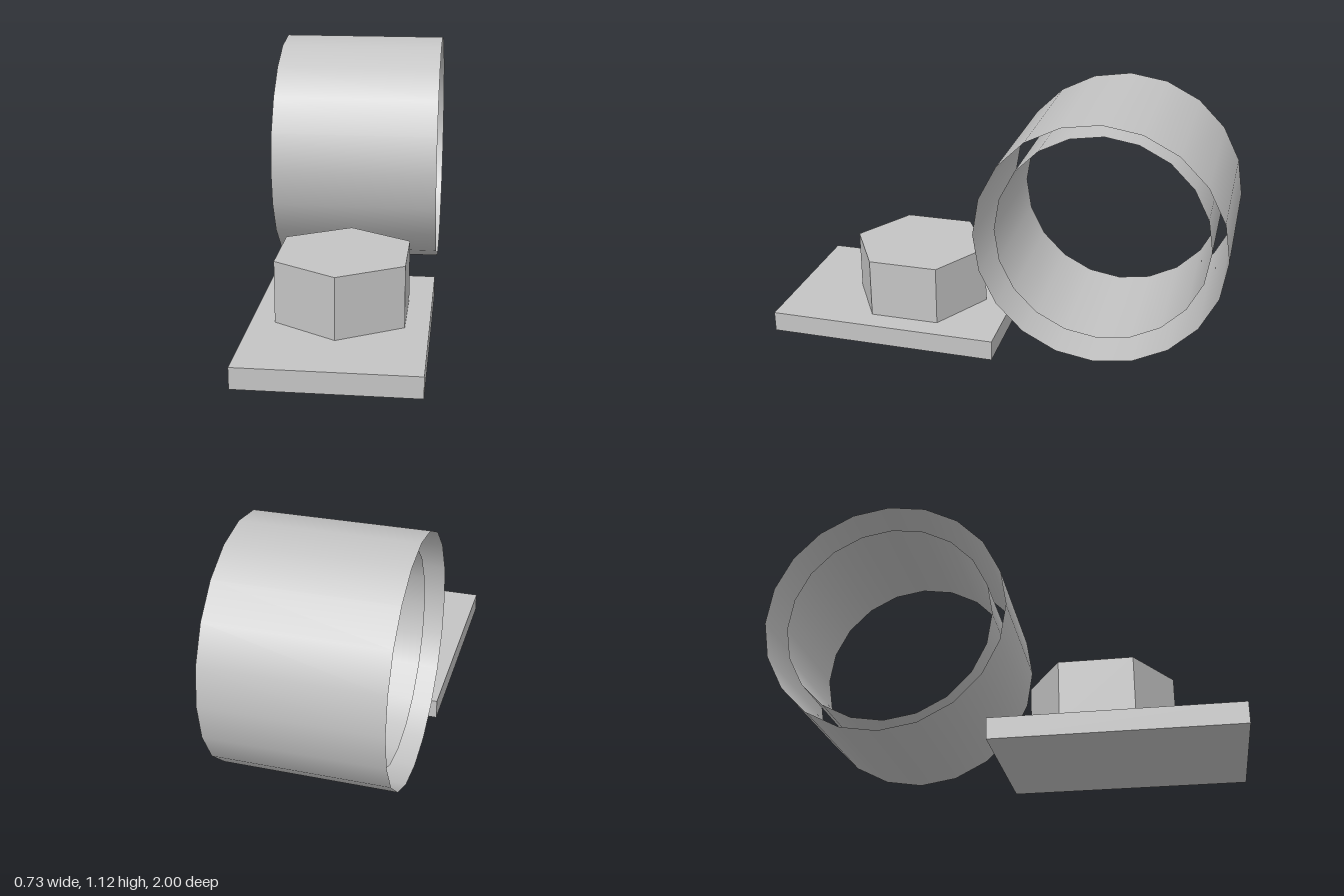
import * as THREE from 'three';
import { toCreasedNormals } from 'three/addons/utils/BufferGeometryUtils.js';

export function createModel() {
  const model = new THREE.Group();
  model.name = 'ringWithMount';
  const grey = new THREE.MeshStandardMaterial({ color: 0xc4c4c4 });
  grey.name = 'light grey';
  const greyShell = new THREE.MeshStandardMaterial({ color: 0xc4c4c4, side: THREE.DoubleSide });
  greyShell.name = 'light grey shell';

  function add(name, geometry, material, x, y, z) {
    const mesh = new THREE.Mesh(geometry, material);
    mesh.name = name;
    mesh.position.set(x, y, z);
    model.add(mesh);
  }

  // Flat mounting plate
  add('basePlate', new THREE.BoxGeometry(0.734, 0.09, 1.025), grey, 0, 0.045, 0.4875);

  // Six-sided boss, corners pointing front and back
  const hex = toCreasedNormals(new THREE.CylinderGeometry(0.308, 0.308, 0.265, 6), 0.5);
  add('hexBoss', hex, grey, 0, 0.2225, 0.41);

  // Open-ended sleeves lying along x, the inner one shorter
  const sleeve = (radius, length) =>
    new THREE.CylinderGeometry(radius, radius, length, 20, 1, true).rotateZ(Math.PI / 2);
  add('outerSleeve', sleeve(0.5275, 0.734), greyShell, 0, 0.5925, -0.4725);
  add('innerSleeve', sleeve(0.455, 0.587), greyShell, 0, 0.5925, -0.4725);

  return model;
}
